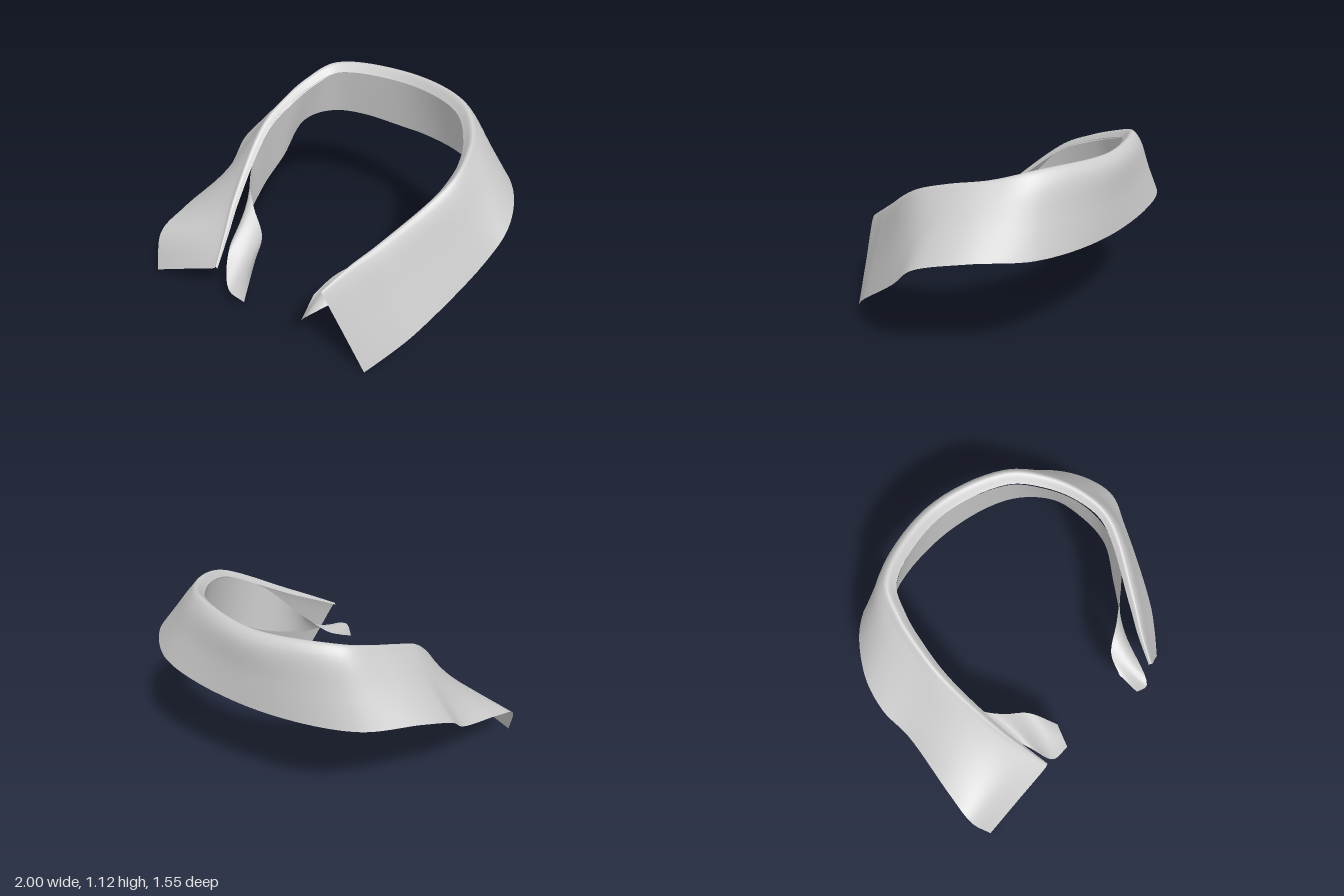
import * as THREE from 'three';

// Both run from the right front, round the back, to the left front.
// Leaf: [fold crest], [outer hem]
const LEAF = [
  [[-0.44, 0.25, 0.67], [-0.95, 0, 0.69]],
  [[-0.49, 0.39, 0.52], [-1, 0.21, 0.58]],
  [[-0.54, 0.55, 0.36], [-0.98, 0.3, 0.38]],
  [[-0.6, 0.86, 0], [-0.925, 0.43, 0]],
  [[-0.59, 0.96, -0.2], [-0.935, 0.58, -0.2]],
  [[-0.55, 1.04, -0.4], [-0.86, 0.67, -0.42]],
  [[-0.46, 1.1, -0.57], [-0.62, 0.69, -0.68]],
  [[0, 1.11, -0.7], [0, 0.67, -0.775]],
  [[0.45, 1.115, -0.57], [0.62, 0.71, -0.7]],
  [[0.62, 1.07, -0.4], [0.88, 0.72, -0.47]],
  [[0.71, 1.03, -0.2], [1, 0.65, -0.2]],
  [[0.73, 0.96, 0], [0.965, 0.5, -0.02]],
  [[0.55, 0.71, 0.4], [0.8, 0.2, 0.4]],
  [[0.46, 0.61, 0.56], [0.72, 0.1, 0.53]],
  [[0.39, 0.51, 0.715], [0.63, 0, 0.65]],
];
// Neckband: [top edge], [bottom edge]; its ends reach out past the fold as tabs
const BAND = [
  [[-0.23, 0.32, 0.55], [-0.24, 0.07, 0.66]],
  [[-0.31, 0.37, 0.39], [-0.36, 0.11, 0.66]],
  [[-0.45, 0.49, 0.3], [-0.45, 0.31, 0.53]],
  [[-0.55, 0.62, 0.2], [-0.56, 0.37, 0.19]],
  [[-0.57, 0.83, 0], [-0.6, 0.45, 0]],
  [[-0.555, 0.93, -0.2], [-0.6, 0.55, -0.18]],
  [[-0.51, 1, -0.38], [-0.58, 0.73, -0.37]],
  [[-0.43, 1.05, -0.53], [-0.47, 0.75, -0.58]],
  [[0, 1.06, -0.65], [0, 0.73, -0.69]],
  [[0.42, 1.06, -0.53], [0.47, 0.75, -0.58]],
  [[0.58, 1.02, -0.37], [0.66, 0.77, -0.38]],
  [[0.67, 0.98, -0.19], [0.72, 0.72, -0.2]],
  [[0.69, 0.92, 0], [0.74, 0.6, 0]],
  [[0.62, 0.78, 0.22], [0.63, 0.47, 0.2]],
  [[0.44, 0.55, 0.39], [0.47, 0.39, 0.45]],
  [[0.3, 0.42, 0.49], [0.33, 0.34, 0.77]],
  [[0.255, 0.35, 0.61], [0.275, 0.27, 0.75]],
];
const ROWS = 112;
const UP = new THREE.Vector3(0, 1, 0);

function edges(stations) {
  return [0, 1].map((k) =>
    new THREE.CatmullRomCurve3(stations.map((s) => new THREE.Vector3(...s[k]))));
}

// Leaf section: hem, up the leaf, over the rolled fold to its inner lip
function leafSection(t, [fold, hem]) {
  const F = fold.getPoint(t), H = hem.getPoint(t);
  const r = 0.01 + 0.04 * Math.sin(Math.PI * t); // roll is fullest at the back
  const out = new THREE.Vector3().crossVectors(UP, fold.getTangent(t)).setY(0).normalize();
  const roll = (side) => F.clone().addScaledVector(out, side * r).addScaledVector(UP, -r);
  const outer = roll(1);
  const mid = H.clone().lerp(outer, 0.5);
  return new THREE.CatmullRomCurve3([H, mid, outer, F, roll(-1)]);
}

// Band section: straight from bottom to top
function bandSection(t, [top, bottom]) {
  return new THREE.LineCurve3(top.getPoint(t), bottom.getPoint(t));
}

// Smooth sheet through the sections at every step along the collar
function sheet(name, section, stations, steps, material) {
  const tracks = edges(stations), points = [], index = [], cols = steps + 1;
  for (let i = 0; i <= ROWS; i++) points.push(...section(i / ROWS, tracks).getPoints(steps));
  for (let i = 0; i < ROWS; i++) {
    for (let j = 0; j < steps; j++) {
      const a = i * cols + j, b = a + cols;
      index.push(a, a + 1, b, a + 1, b + 1, b);
    }
  }
  const geometry = new THREE.BufferGeometry().setFromPoints(points);
  geometry.setIndex(index);
  geometry.computeVertexNormals();
  const mesh = new THREE.Mesh(geometry, material);
  mesh.name = name;
  return mesh;
}

export function createModel() {
  const material = new THREE.MeshStandardMaterial({ color: 0xcccccc, side: THREE.DoubleSide });
  const group = new THREE.Group();
  group.name = 'shirtCollar';
  group.add(
    sheet('collarLeaf', leafSection, LEAF, 24, material),
    sheet('neckband', bandSection, BAND, 6, material),
  );
  return group;
}
